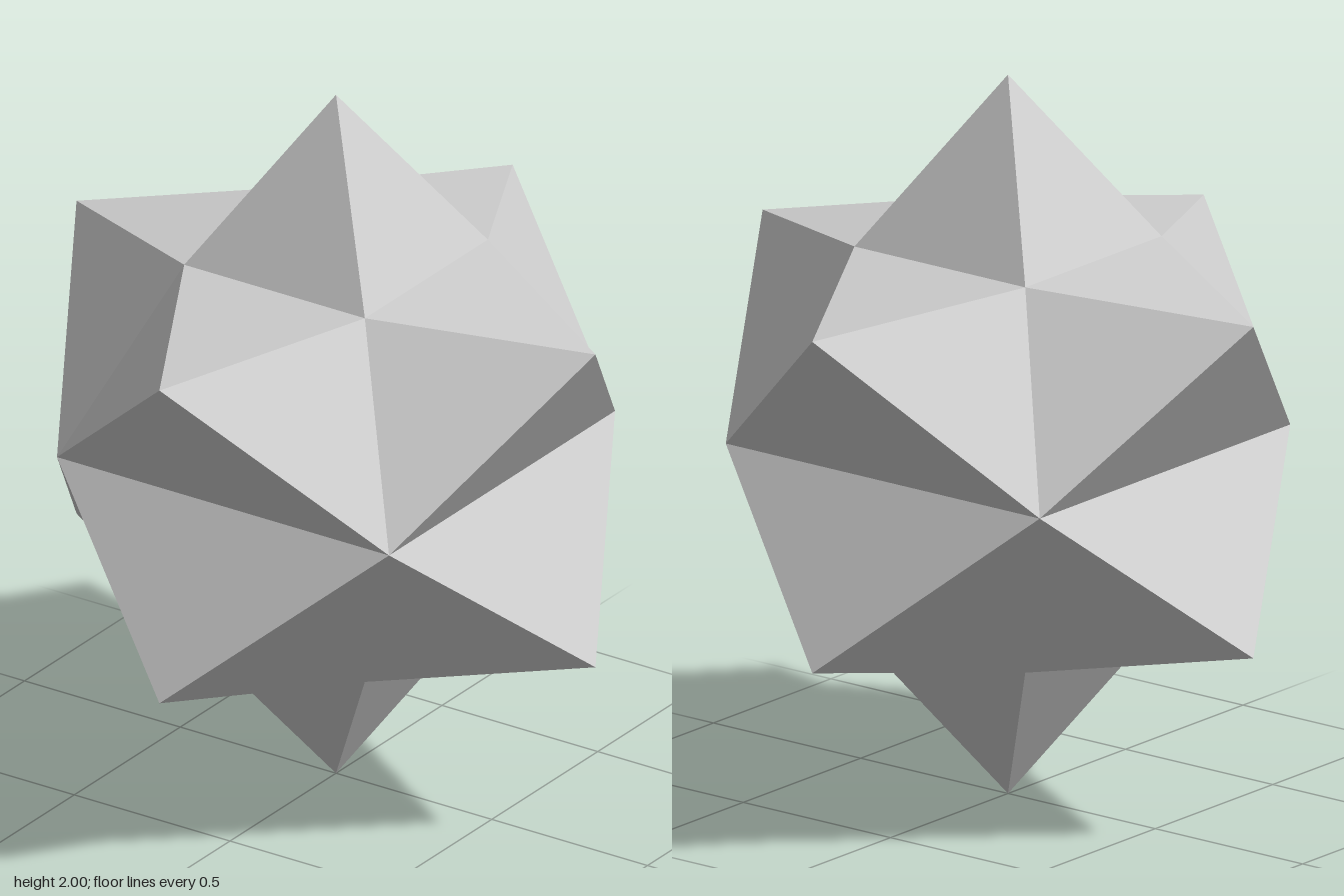
import * as THREE from 'three';

const material = new THREE.MeshStandardMaterial({ color: 0xcccccc, flatShading: true });

// Open four-sided spike: base corners run counter-clockwise seen from outside
function spike(name, base, apex) {
  const points = base.flatMap((corner, i) => [corner, base[(i + 1) % base.length], apex]);
  const geometry = new THREE.BufferGeometry();
  geometry.setAttribute('position', new THREE.Float32BufferAttribute(points.flat(), 3));
  geometry.computeVertexNormals();
  const mesh = new THREE.Mesh(geometry, material);
  mesh.name = name;
  return mesh;
}

// Half of the star, measured from the equator upwards
function starHalf(name) {
  const s = 0.29, sy = 0.536; // inner square
  const e = 0.533;            // equator corners
  const half = new THREE.Group();
  half.name = name;

  // Pole spike on the inner square
  half.add(spike('poleSpike',
    [[-s, sy, s], [s, sy, s], [s, sy, -s], [-s, sy, -s]], [0, 1, 0]));

  // Four side spikes on the sloping trapezoids
  for (let i = 0; i < 4; i++) {
    const side = spike('sideSpike',
      [[-s, sy, s], [-e, 0, e], [e, 0, e], [s, sy, s]], [0, 0.461, 0.833]);
    side.rotation.y = i * Math.PI / 2;
    half.add(side);
  }
  half.position.y = 1;
  return half;
}

export function createModel() {
  const model = new THREE.Group();
  model.name = 'spikedPolyhedron';
  const upper = starHalf('upperHalf');
  const lower = starHalf('lowerHalf');
  lower.rotation.x = Math.PI;
  model.add(upper, lower);
  return model;
}
